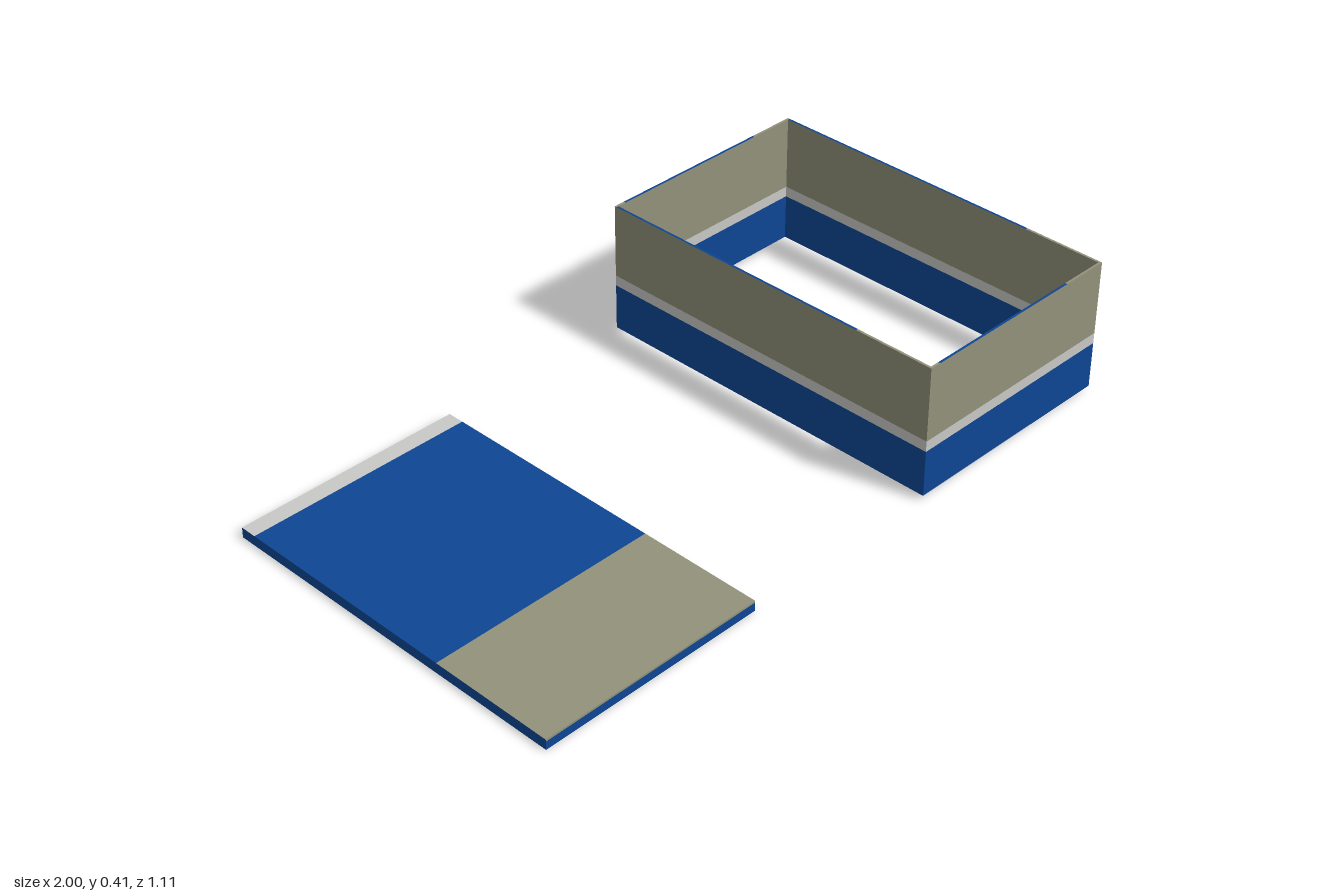
import * as THREE from 'three';

const material = (name, color) => {
  const m = new THREE.MeshStandardMaterial({ color });
  m.name = name;
  return m;
};

export function createModel() {
  const model = new THREE.Group();
  model.name = 'boxAndLid';
  const blue = material('blue', 0x0d4694);
  const white = material('paleGrey', 0xc9c9c6);
  const tan = material('khaki', 0x93927a);

  // Box between two limits on each axis; materials run +x, -x, +y, -y, +z, -z
  function block(parent, name, [x0, x1], [y0, y1], [z0, z1], mats) {
    const mesh = new THREE.Mesh(new THREE.BoxGeometry(x1 - x0, y1 - y0, z1 - z0), mats);
    mesh.position.set((x0 + x1) / 2, (y0 + y1) / 2, (z0 + z1) / 2);
    mesh.name = name;
    parent.add(mesh);
  }

  // Flat lid: two layers, each banded along z, with blue sides and a khaki back
  const lid = new THREE.Group();
  lid.name = 'lid';
  model.add(lid);
  const lidX = [-1, -0.313];
  const lowerBands = [[-0.556, -0.24, blue], [-0.24, -0.165, white], [-0.165, 0.552, tan]];
  const upperBands = [[-0.556, -0.506, white], [-0.506, 0.178, blue], [0.178, 0.552, tan]];
  for (const [z0, z1, m] of lowerBands) {
    block(lid, 'lidUnderside', lidX, [0, 0.025], [z0, z1], [blue, blue, m, m, blue, tan]);
  }
  for (const [z0, z1, m] of upperBands) {
    block(lid, 'lidTop', lidX, [0.025, 0.031], [z0, z1], [blue, blue, m, m, m, tan]);
  }

  // Open rectangular frame: four thin walls, banded by height
  const frame = new THREE.Group();
  frame.name = 'frame';
  model.add(frame);
  const t = 0.007, xMin = 0.306, xMax = 0.998, zMin = -0.557, zMax = 0.557;
  const wallBands = [[0.015, 0.153, blue], [0.153, 0.185, white], [0.185, 0.402, tan]];
  const walls = [
    ['rightWall', [xMin, xMin + t], [zMin + t, zMax - t]],
    ['leftWall', [xMax - t, xMax], [zMin + t, zMax - t]],
    ['backWall', [xMin, xMax], [zMin, zMin + t]],
    ['frontWall', [xMin, xMax], [zMax - t, zMax]],
  ];
  for (const [name, xs, zs] of walls) {
    for (const [y0, y1, m] of wallBands) block(frame, name, xs, [y0, y1], zs, m);
  }

  // Top rim: blue edge with khaki ends
  const rimY = [0.402, 0.406];
  const rim = (xs, zs, m) => block(frame, 'rim', xs, rimY, zs, [tan, tan, m, tan, tan, tan]);
  for (const [, xs, zs] of walls.slice(0, 2)) {
    rim(xs, [zs[0], 0.31], blue);
    rim(xs, [0.31, zs[1]], tan);
  }
  for (const [, xs, zs] of walls.slice(2)) {
    rim([xs[0], 0.34], zs, tan);
    rim([0.34, 0.85], zs, blue);
    rim([0.85, xs[1]], zs, tan);
  }
  return model;
}
